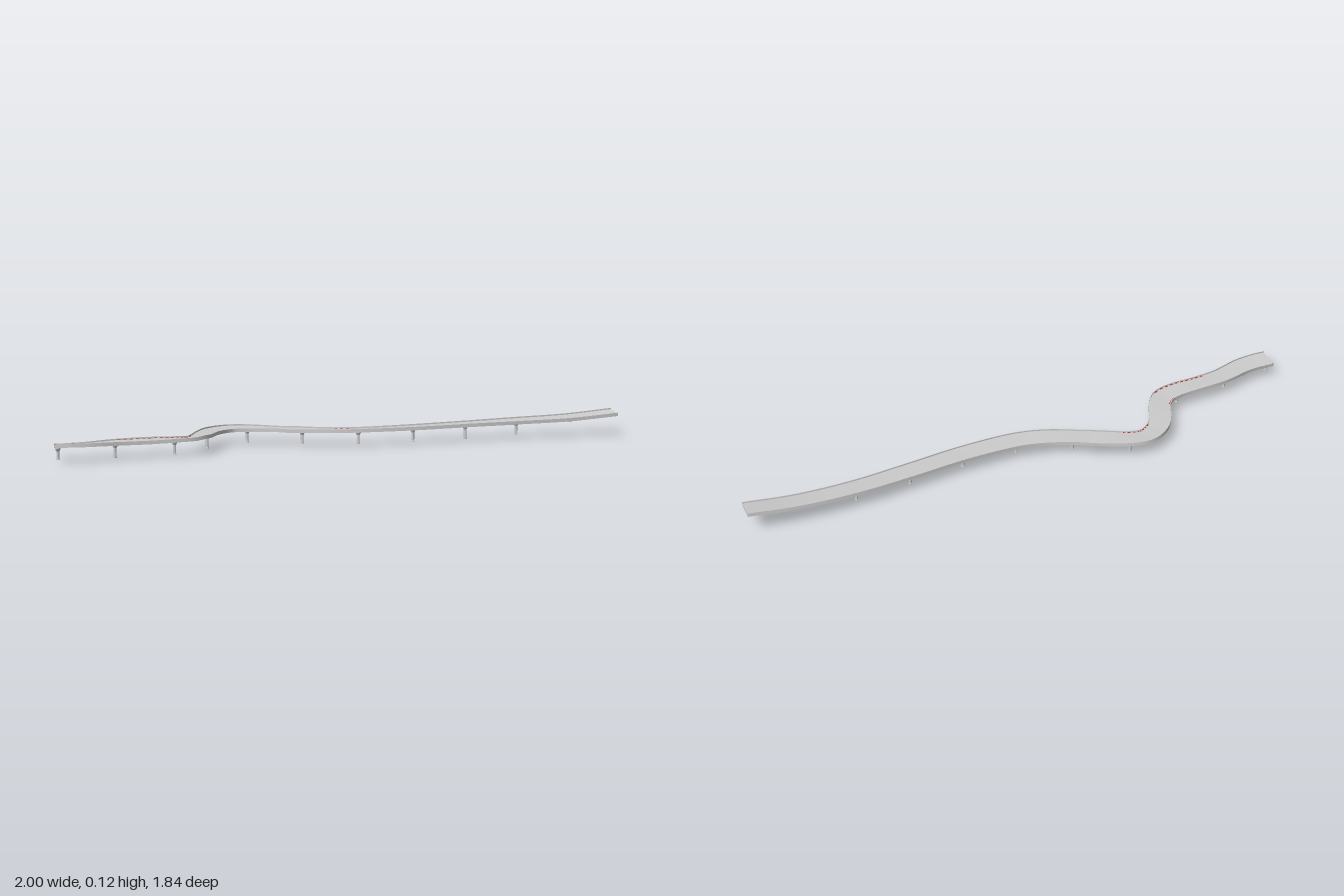
import * as THREE from 'three';

// Centre line of the road surface: x, y, z, bank (positive lifts the right-hand edge)
const ROUTE = [
  [-0.97, 0.073, 0.88, 0.1], [-0.915, 0.073, 0.838, 0.1], [-0.86, 0.073, 0.785, 0.08],
  [-0.775, 0.072, 0.672, 0], [-0.69, 0.072, 0.59, -0.02], [-0.6, 0.072, 0.51, 0.03],
  [-0.553, 0.071, 0.45, 0.06], [-0.543, 0.071, 0.385, 0.06], [-0.565, 0.071, 0.28, 0],
  [-0.57, 0.071, 0.2, -0.06], [-0.538, 0.071, 0.118, -0.07], [-0.47, 0.071, 0.077, -0.05],
  [-0.36, 0.071, 0.05, 0], [-0.22, 0.071, 0.022, 0], [-0.1, 0.072, -0.012, 0.04],
  [0.015, 0.073, -0.07, 0.05], [0.215, 0.075, -0.23, 0.02], [0.4, 0.077, -0.41, 0],
  [0.585, 0.08, -0.585, -0.05], [0.785, 0.087, -0.745, -0.08], [0.97, 0.106, -0.877, -0.1],
];
const HALF = 0.05, THICK = 0.01;
const UP = new THREE.Vector3(0, 1, 0);
const curve = new THREE.CatmullRomCurve3(ROUTE.map(([x, y, z]) => new THREE.Vector3(x, y, z)));
const banks = new THREE.CatmullRomCurve3(ROUTE.map((p) => new THREE.Vector3(p[3], 0, 0)));
curve.arcLengthDivisions = 800;

const grey = new THREE.MeshStandardMaterial({ color: 0xcccccc });
const red = new THREE.MeshStandardMaterial({ color: 0xcc2a20 });

// Position and banked axes at a fraction u of the road's length
function frameAt(u) {
  const t = curve.getUtoTmapping(u);
  const pos = curve.getPoint(t), dir = curve.getTangent(t);
  const side = new THREE.Vector3().crossVectors(dir, UP).normalize();
  side.applyAxisAngle(dir, -banks.getPoint(t).x);
  return { pos, dir, side, up: new THREE.Vector3().crossVectors(side, dir).normalize() };
}

// Fraction of the length closest to a point in plan
function nearestU(x, z) {
  let best = 0, min = Infinity;
  for (let i = 0; i <= 600; i++) {
    const p = curve.getPointAt(i / 600);
    const d = Math.hypot(p.x - x, p.z - z);
    if (d < min) { min = d; best = i / 600; }
  }
  return best;
}

// Sweep a convex counter-clockwise profile along part of the road, with closed ends
function sweep(profile, u0, u1, steps) {
  const pos = [], idx = [], n = profile.length;
  const rings = [];
  for (let i = 0; i <= steps; i++) {
    const f = frameAt(u0 + ((u1 - u0) * i) / steps);
    rings.push(profile.map(([s, h]) => f.pos.clone().addScaledVector(f.side, s).addScaledVector(f.up, h)));
  }
  for (let e = 0; e < n; e++) {
    const base = pos.length / 3;
    for (const r of rings) pos.push(...r[e].toArray(), ...r[(e + 1) % n].toArray());
    for (let i = 0; i < steps; i++) {
      const a = base + i * 2;
      idx.push(a, a + 3, a + 1, a, a + 2, a + 3);
    }
  }
  for (const [ring, flip] of [[rings[0], false], [rings[steps], true]]) {
    const base = pos.length / 3;
    ring.forEach((p) => pos.push(...p.toArray()));
    for (let k = 1; k < n - 1; k++) {
      idx.push(base, base + (flip ? k + 1 : k), base + (flip ? k : k + 1));
    }
  }
  const g = new THREE.BufferGeometry();
  g.setAttribute('position', new THREE.Float32BufferAttribute(pos, 3));
  g.setIndex(idx);
  g.computeVertexNormals();
  return g;
}

const rect = (s0, s1, h0, h1) => [[s0, h0], [s1, h0], [s1, h1], [s0, h1]];

function addMesh(parent, name, geometry, material = grey) {
  const m = new THREE.Mesh(geometry, material);
  m.name = name;
  parent.add(m);
  return m;
}

export function createModel() {
  const model = new THREE.Group();
  model.name = 'windingElevatedRoad';

  // Deck slab and low edge walls
  addMesh(model, 'roadDeck', sweep(rect(-HALF, HALF, -THICK, 0), 0, 1, 240));
  addMesh(model, 'leftWall', sweep(rect(-HALF, -HALF + 0.003, -0.001, 0.006), 0, 1, 240));
  addMesh(model, 'rightWall', sweep(rect(HALF - 0.003, HALF, -0.001, 0.006), 0, 1, 240));

  // Striped kerbs on the bends: from x, z to x, z, side (+1 right, -1 left)
  const kerbs = new THREE.Group();
  kerbs.name = 'kerbs';
  model.add(kerbs);
  const runs = [
    [-0.97, 0.88, -0.9, 0.825, -1], [-0.775, 0.672, -0.543, 0.39, -1],
    [-0.72, 0.62, -0.545, 0.44, 1], [-0.57, 0.19, -0.43, 0.067, 1], [-0.08, -0.02, -0.02, -0.05, -1],
  ];
  const length = curve.getLength();
  for (const [x0, z0, x1, z1, side] of runs) {
    const u0 = nearestU(x0, z0), u1 = nearestU(x1, z1);
    const count = Math.max(3, Math.round(((u1 - u0) * length) / 0.013));
    const mid = side * 0.0445;
    for (let i = 0; i < count; i++) {
      const a = u0 + ((u1 - u0) * i) / count, b = u0 + ((u1 - u0) * (i + 1)) / count;
      addMesh(kerbs, i % 2 ? 'greyKerb' : 'redKerb',
        sweep(rect(mid - 0.0025, mid + 0.0025, -0.001, 0.0015), a, b, 2), i % 2 ? grey : red);
    }
  }

  // Pillars with flared heads: x, z, foot height
  const pillars = [
    [-0.96, 0.872, 0.01], [-0.79, 0.69, 0.004], [-0.6, 0.51, 0.004], [-0.565, 0.28, 0],
    [-0.47, 0.077, 0.004], [-0.22, 0.022, 0.008], [0.015, -0.07, 0.008], [0.215, -0.23, 0.008],
    [0.4, -0.41, 0.007], [0.585, -0.585, 0.015], [0.785, -0.745, 0.064],
  ];
  for (const [x, z, foot] of pillars) {
    const f = frameAt(nearestU(x, z));
    const top = f.pos.y - THICK + 0.002;
    const h = top - foot;
    const flare = Math.min(0.018, h * 0.45);
    const profile = [[0, 0], [0.008, 0], [0.008, 0.003], [0.0065, 0.004], [0.0065, h - flare],
      [0.012, h - flare * 0.4], [0.012, h], [0, h]].map(([r, y]) => new THREE.Vector2(r, y));
    const g = new THREE.LatheGeometry(profile, 12).toNonIndexed();
    g.computeVertexNormals();
    addMesh(model, 'pillar', g).position.set(x, foot, z);
  }

  // Cross beam under the deck where the road meets rising ground
  const end = frameAt(nearestU(0.785, -0.745));
  const beam = addMesh(model, 'crossBeam', new THREE.BoxGeometry(0.09, 0.006, 0.006));
  beam.position.copy(end.pos).addScaledVector(end.up, -THICK - 0.002);
  beam.quaternion.setFromRotationMatrix(
    new THREE.Matrix4().makeBasis(end.side, end.up, end.dir.clone().negate()));

  return model;
}
